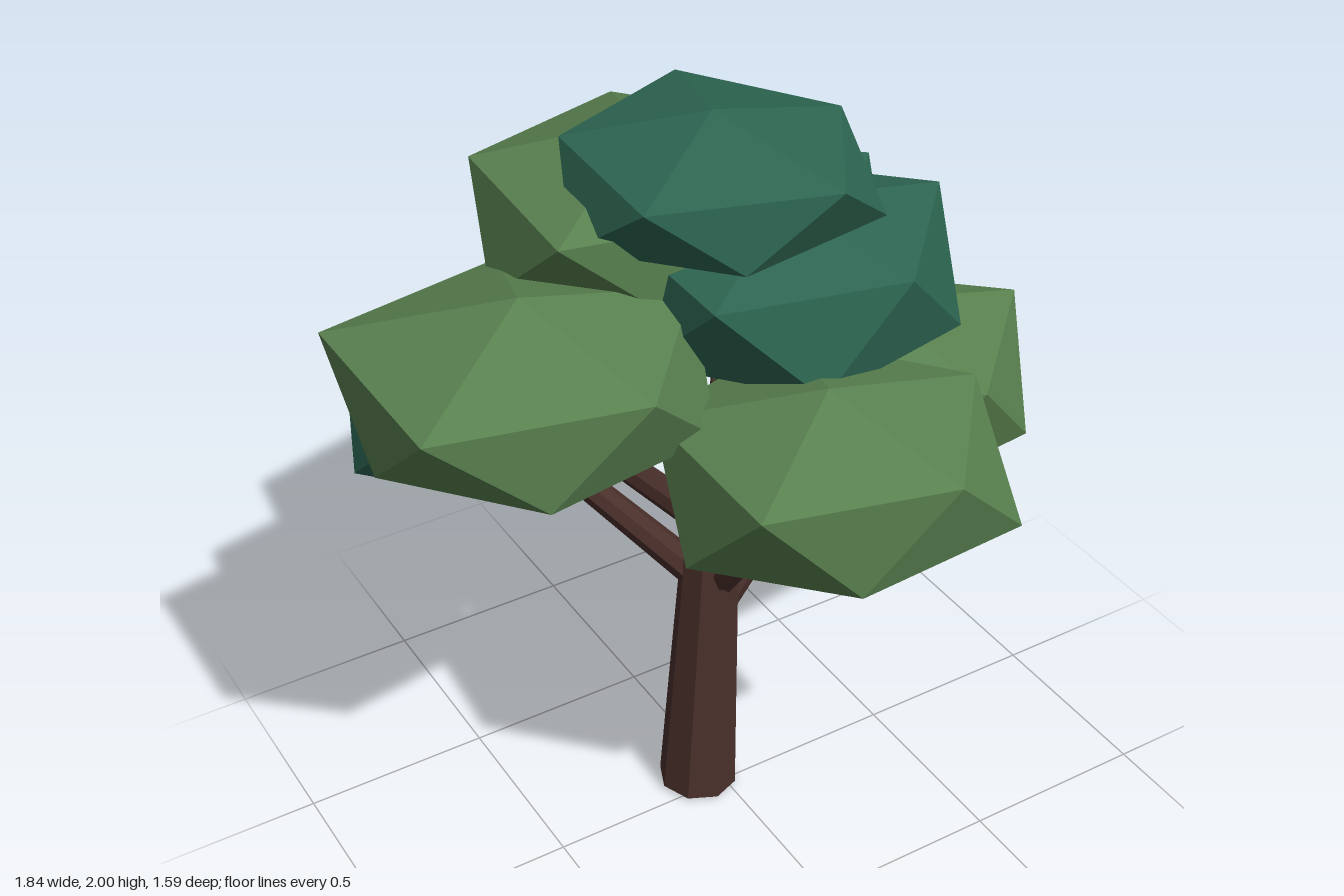
import * as THREE from 'three';

const bark = new THREE.MeshStandardMaterial({ color: 0x4a302b, flatShading: true });
const lightLeaf = new THREE.MeshStandardMaterial({ color: 0x5a8250, flatShading: true });
const darkLeaf = new THREE.MeshStandardMaterial({ color: 0x2e6652, flatShading: true });

// Tapered eight-sided limb between two points
function limb(name, from, to, r0, r1) {
  const a = new THREE.Vector3(...from), b = new THREE.Vector3(...to);
  const dir = b.clone().sub(a);
  const mesh = new THREE.Mesh(new THREE.CylinderGeometry(r1, r0, dir.length(), 8), bark);
  mesh.position.copy(a).add(b).multiplyScalar(0.5);
  mesh.quaternion.setFromUnitVectors(new THREE.Vector3(0, 1, 0), dir.normalize());
  mesh.name = name;
  return mesh;
}

// Irregular icosahedral clump: two poles and two staggered five-point rings.
// heights: top, upper ring, lower ring, bottom; upper and lower: ring radii
function clump(name, material, [x, z], heights, upper, lower) {
  const [yTop, yUp, yLow, yBottom] = heights;
  const ring = (radii, y, shift) => radii.map((r, i) => {
    const a = (i + shift) * Math.PI * 2 / 5;
    return [x + r * Math.cos(a), y, z + r * Math.sin(a)];
  });
  const u = ring(upper, yUp, 0), l = ring(lower, yLow, 0.5);
  const top = [x, yTop, z], bottom = [x, yBottom, z];
  const points = [];
  for (let i = 0; i < 5; i++) {
    const j = (i + 1) % 5;
    points.push(top, u[j], u[i], u[i], u[j], l[i], l[i], u[j], l[j], bottom, l[i], l[j]);
  }
  const geometry = new THREE.BufferGeometry();
  geometry.setAttribute('position', new THREE.Float32BufferAttribute(points.flat(), 3));
  geometry.computeVertexNormals();
  const mesh = new THREE.Mesh(geometry, material);
  mesh.name = name;
  return mesh;
}

export function createModel() {
  const tree = new THREE.Group();
  tree.name = 'tree';

  // Trunk and branches
  tree.add(
    limb('trunk', [-0.055, 0.01, -0.05], [0.01, 1.15, -0.05], 0.106, 0.06),
    limb('upperTrunk', [0.005, 1.0, -0.05], [0.08, 1.55, 0], 0.055, 0.035),
    limb('topBranch', [0, 0.9, -0.06], [-0.06, 1.6, -0.2], 0.045, 0.03),
    limb('leftBranch', [0, 0.57, -0.05], [0.42, 1.07, -0.05], 0.045, 0.03),
    limb('rightBranch', [-0.01, 0.85, -0.04], [-0.5, 1.42, 0.02], 0.042, 0.03),
    limb('frontBranch', [0, 0.7, -0.01], [0, 1.2, 0.38], 0.042, 0.03),
    limb('backLeftBranch', [0, 0.72, -0.06], [0.28, 1.35, -0.42], 0.042, 0.03),
    limb('backRightBranch', [-0.02, 0.67, -0.05], [-0.42, 1.14, -0.37], 0.045, 0.03),
  );

  // Leaf clumps
  tree.add(
    clump('frontLeaves', lightLeaf, [0, 0.44], [1.53, 1.43, 1.18, 1.0],
      [0.41, 0.37, 0.4, 0.39, 0.38], [0.45, 0.31, 0.37, 0.36, 0.42]),
    clump('leftLeaves', lightLeaf, [0.44, -0.05], [1.37, 1.25, 0.99, 0.82],
      [0.48, 0.38, 0.4, 0.4, 0.36], [0.43, 0.32, 0.38, 0.36, 0.41]),
    clump('rightLeaves', lightLeaf, [-0.55, 0.04], [1.73, 1.62, 1.39, 1.25],
      [0.44, 0.4, 0.45, 0.45, 0.37], [0.43, 0.34, 0.37, 0.35, 0.42]),
    clump('upperBackLeaves', lightLeaf, [-0.08, -0.23], [1.92, 1.81, 1.58, 1.42],
      [0.42, 0.38, 0.45, 0.41, 0.39], [0.43, 0.33, 0.41, 0.36, 0.4]),
    clump('crownLeaves', darkLeaf, [0, -0.05], [2.0, 1.92, 1.75, 1.62],
      [0.35, 0.38, 0.38, 0.35, 0.39], [0.4, 0.32, 0.37, 0.33, 0.38]),
    clump('middleLeaves', darkLeaf, [0.14, 0.04], [1.78, 1.7, 1.46, 1.32],
      [0.44, 0.37, 0.42, 0.41, 0.35], [0.42, 0.36, 0.39, 0.33, 0.42]),
    clump('backLeftLeaves', darkLeaf, [0.3, -0.46], [1.66, 1.52, 1.3, 1.16],
      [0.43, 0.36, 0.4, 0.38, 0.32], [0.41, 0.33, 0.37, 0.36, 0.39]),
    clump('backRightLeaves', darkLeaf, [-0.43, -0.39], [1.43, 1.33, 1.1, 0.975],
      [0.4, 0.36, 0.43, 0.36, 0.32], [0.42, 0.33, 0.38, 0.36, 0.4]),
  );
  return tree;
}
